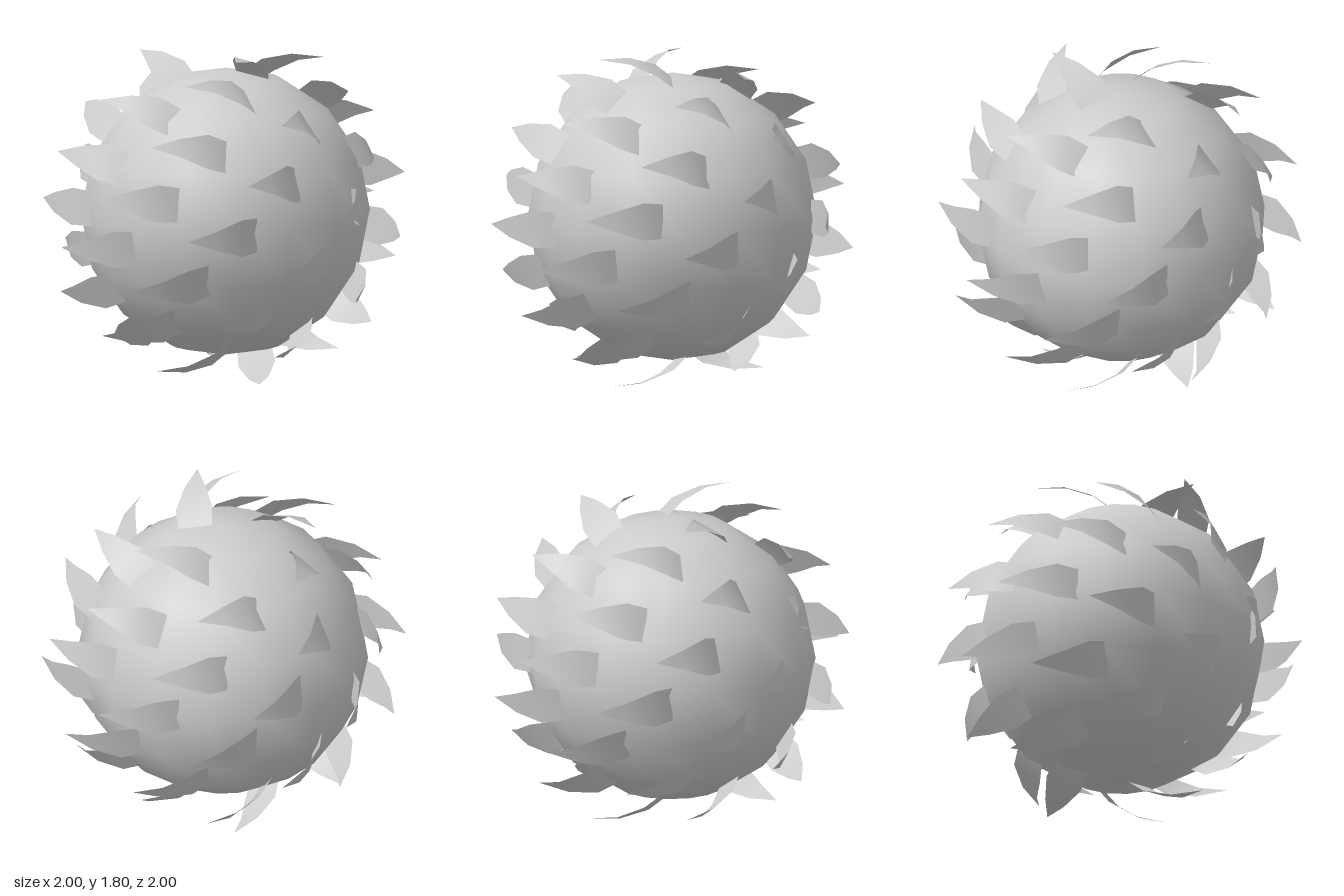
import * as THREE from 'three';

const RADIUS = 0.8;
const COUNT = 48;
const GOLDEN_ANGLE = Math.PI * (3 - Math.sqrt(5));

// Bowed, pointed blade: +y away from the ball, +z towards the tip
function bladeGeometry() {
  // [distance along, lift, half width]
  const sections = [
    [0, -0.025, 0.095],
    [0.1, 0.055, 0.103],
    [0.25, 0.11, 0.056],
    [0.42, 0.12, 0],
  ];
  const positions = [];
  const indices = [];
  sections.forEach(([along, lift, half], i) => {
    positions.push(-half, lift, along);
    if (half > 0) positions.push(half, lift, along);
    if (i === 0) return;
    const a = (i - 1) * 2;
    indices.push(a, a + 2, a + 1);
    if (half > 0) indices.push(a + 1, a + 2, a + 3);
  });
  const geometry = new THREE.BufferGeometry();
  geometry.setAttribute('position', new THREE.Float32BufferAttribute(positions, 3));
  geometry.setIndex(indices);
  geometry.computeVertexNormals();
  return geometry;
}

export function createModel() {
  const model = new THREE.Group();
  model.name = 'bladedBall';
  model.position.set(-0.005, 0.905, 0);

  const grey = new THREE.MeshStandardMaterial({ color: 0xcccccc, side: THREE.DoubleSide });
  grey.name = 'light grey';

  // Ball
  const ball = new THREE.Mesh(new THREE.SphereGeometry(RADIUS, 16, 8), grey);
  ball.name = 'ball';
  model.add(ball);

  // Blades spread on a golden spiral, all swept the same way round
  const blades = new THREE.Group();
  blades.name = 'blades';
  const geometry = bladeGeometry();
  for (let i = 0; i < COUNT; i++) {
    const y = 1 - (2 * i + 1) / COUNT;
    const ring = Math.sqrt(1 - y * y);
    const angle = i * GOLDEN_ANGLE;
    const normal = new THREE.Vector3(Math.cos(angle) * ring, y, Math.sin(angle) * ring);
    const sweep = new THREE.Vector3(-Math.sin(angle), 0, Math.cos(angle));
    const across = new THREE.Vector3().crossVectors(normal, sweep);

    const blade = new THREE.Mesh(geometry, grey);
    blade.name = 'blade';
    blade.quaternion.setFromRotationMatrix(new THREE.Matrix4().makeBasis(across, normal, sweep));
    blade.position.copy(normal).multiplyScalar(RADIUS);
    blades.add(blade);
  }
  model.add(blades);

  const root = new THREE.Group();
  root.name = 'model';
  root.add(model);
  return root;
}
